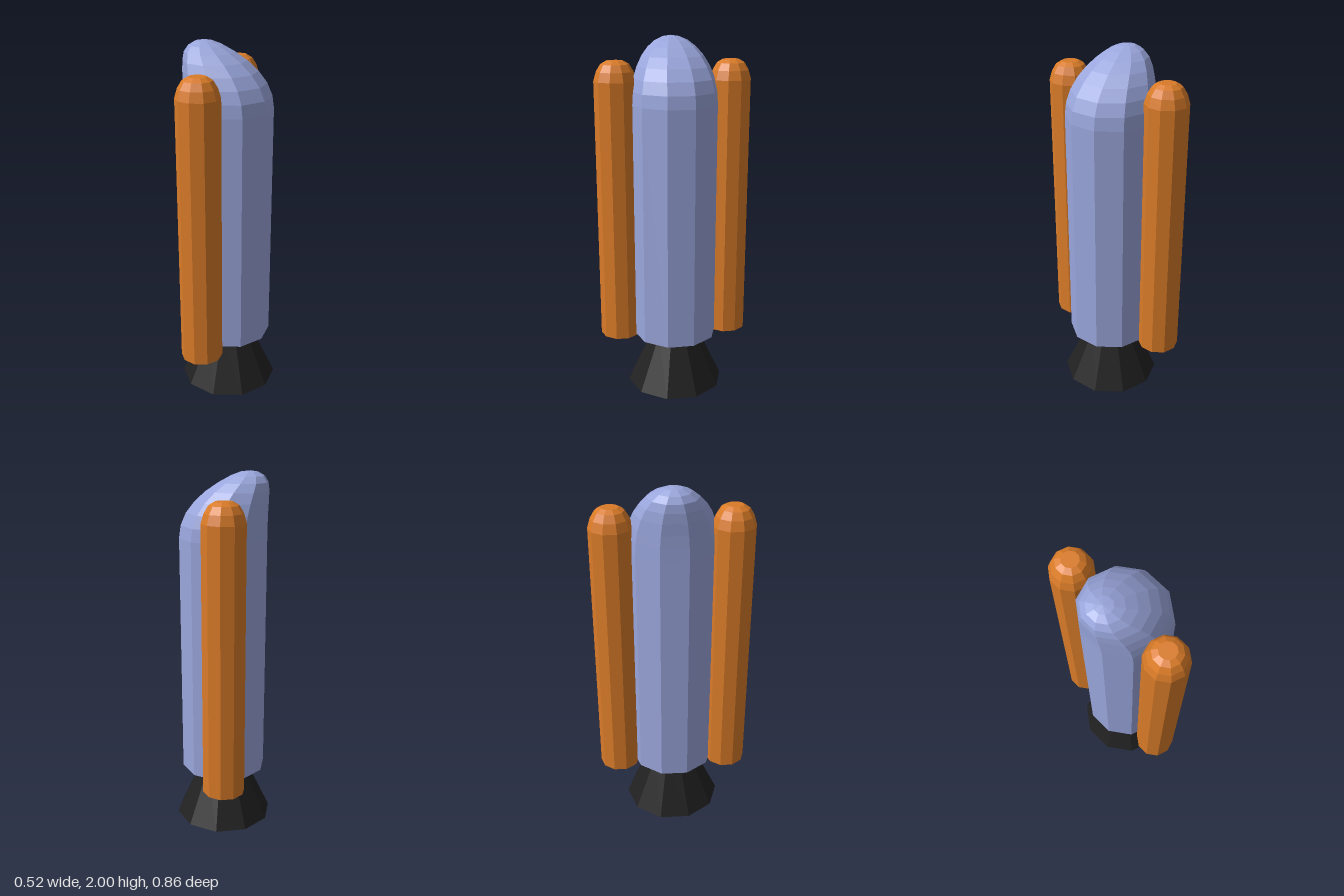
import * as THREE from 'three';

const SIDES = 10;
const material = (color) => new THREE.MeshStandardMaterial({ color, flatShading: true });

// Ten-sided turned part from [radius, height] pairs, listed bottom to top
function turned(name, profile, mat) {
  const points = profile.map(([r, y]) => new THREE.Vector2(r, y));
  const mesh = new THREE.Mesh(new THREE.LatheGeometry(points, SIDES), mat);
  mesh.name = name;
  return mesh;
}

export function createModel() {
  const model = new THREE.Group();
  model.name = 'rocket';
  const blue = material(0x9aa6dc);
  const orange = material(0xd97b28);
  const black = material(0x202020);

  // Body with a domed nose whose rings slide towards -x
  const R = 0.24, base = 0.31, shoulder = 1.65, rise = 0.35;
  const shift = [0, -0.005, -0.02, -0.045, -0.075, -0.105, -0.125, -0.135, -0.14];
  const steps = shift.length - 1;
  const profile = [[R, base]];
  for (let i = 0; i <= steps; i++) {
    const t = (i / steps) * Math.PI / 2;
    profile.push([i === steps ? 0 : R * Math.cos(t), shoulder + rise * Math.sin(t)]);
  }
  const body = turned('body', profile, blue);
  const pos = body.geometry.attributes.position;
  for (let i = 0; i < pos.count; i++) {
    const ring = (i % profile.length) - 1;
    if (ring > 0) pos.setX(i, pos.getX(i) + shift[ring]);
  }
  body.geometry.computeVertexNormals();
  model.add(body);

  // Dark plate closing the underside of the body
  model.add(turned('bodyBase', [[0, base], [R, base]], black));

  // Flared nozzle with a shallow recess underneath
  model.add(turned('nozzle', [[0, 0.06], [0.215, 0.06], [0.235, 0], [0.276, 0], [0.131, 0.312]], black));

  // Side boosters with rounded tops
  for (const side of [1, -1]) {
    const booster = turned(side > 0 ? 'frontBooster' : 'backBooster', [
      [0, 0.3], [0.115, 0.3], [0.115, 1.77], [0.1, 1.82], [0.077, 1.858], [0.046, 1.876], [0, 1.876],
    ], orange);
    booster.position.set(-0.05, 0, side * 0.315);
    model.add(booster);
  }
  return model;
}
